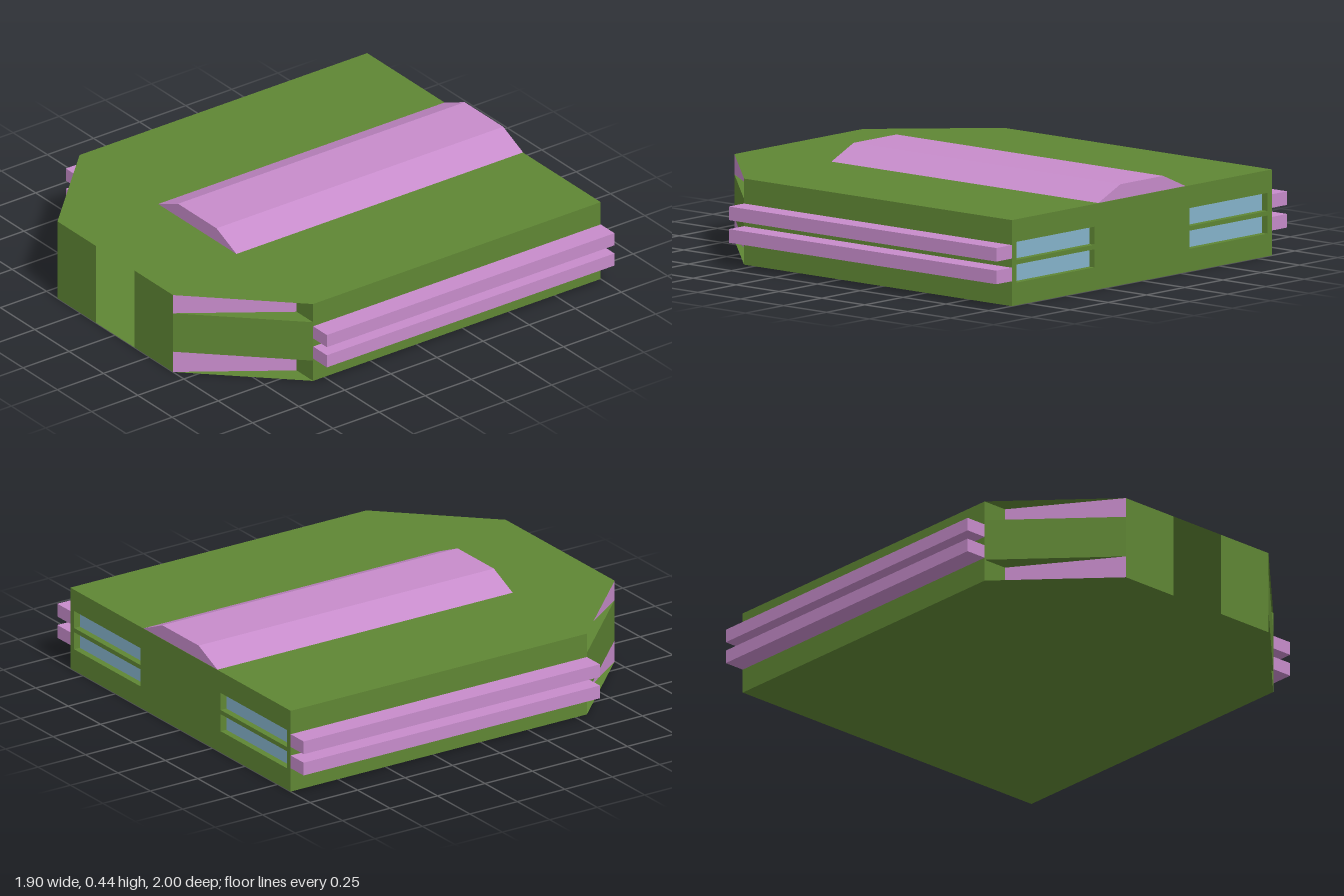
import * as THREE from 'three';

export function createModel() {
  const model = new THREE.Group();
  const mat = (name, color) => {
    const m = new THREE.MeshStandardMaterial({ color, side: THREE.DoubleSide });
    m.name = name;
    return m;
  };
  const green = mat('hull green', 0x5f8634);
  const pink = mat('trim pink', 0xc78ccb);
  const blue = mat('vent blue', 0x86b4cc);

  const add = (name, geometry, material, x = 0, y = 0, z = 0) => {
    const mesh = new THREE.Mesh(geometry, material);
    mesh.name = name;
    mesh.position.set(x, y, z);
    model.add(mesh);
    return mesh;
  };
  const polygon = (pts) => new THREE.Shape(pts.map(([x, y]) => new THREE.Vector2(x, y)));

  // Flat horizontal sheet from [x, z] corners
  const sheet = (name, pts, y, material) =>
    add(name, new THREE.ShapeGeometry(polygon(pts.map(([x, z]) => [x, -z]))).rotateX(-Math.PI / 2), material, 0, y, 0);

  // Upright panel between two [x, z] points
  const wall = (name, [x0, z0], [x1, z1], y0, y1, material) => {
    const panel = add(name, new THREE.PlaneGeometry(Math.hypot(x1 - x0, z1 - z0), y1 - y0), material,
      (x0 + x1) / 2, (y0 + y1) / 2, (z0 + z1) / 2);
    panel.rotation.y = -Math.atan2(z1 - z0, x1 - x0);
  };

  const H = 0.38, W = 0.85, SHOULDER = 0.56, NOSE = 0.42;
  const BAND = [0.1, 0.29];
  const outline = [[-W, -1], [W, -1], [W, SHOULDER], [NOSE, 1], [-NOSE, 1], [-W, SHOULDER]];

  // Hollow hull: floor and roof
  sheet('floor', outline, 0, green);
  sheet('roof', outline, H, green);

  // Back wall with two pairs of vent openings
  const vents = [];
  for (const s of [-1, 1]) for (const y of [0.14, 0.24]) vents.push([s * 0.565, y]);
  const VW = 0.255, VH = 0.04, DEPTH = 0.03;
  const back = polygon([[-W, 0], [W, 0], [W, H], [-W, H]]);
  for (const [x, y] of vents) {
    back.holes.push(new THREE.Path([[-VW, -VH], [-VW, VH], [VW, VH], [VW, -VH]]
      .map(([a, b]) => new THREE.Vector2(x + a, y + b))));
  }
  add('backWall', new THREE.ShapeGeometry(back), green, 0, 0, -1);

  // Recessed vents
  for (const [x, y] of vents) {
    wall('vent', [x + VW, -1 + DEPTH], [x - VW, -1 + DEPTH], y - VH, y + VH, blue);
    for (const s of [-1, 1]) {
      wall('ventSide', [x + s * VW, -1], [x + s * VW, -1 + DEPTH], y - VH, y + VH, green);
      sheet('ventLip', [[x - VW, -1], [x + VW, -1], [x + VW, -1 + DEPTH], [x - VW, -1 + DEPTH]], y + s * VH, green);
    }
  }

  for (const s of [-1, 1]) {
    const shoulder = [s * W, SHOULDER], nose = [s * NOSE, 1], inner = [s * 0.73, SHOULDER];

    // Side wall, nose panel beside the open centre, and corner band
    wall('sideWall', [s * W, -1], shoulder, 0, H, green);
    wall('nosePanel', nose, [s * 0.14, 1], 0, H, green);
    wall('cornerBand', shoulder, nose, ...BAND, green);

    // Corner pockets above and below the band
    for (const [y0, y1] of [[0, BAND[0]], [BAND[1], H]]) {
      wall('pocketPanel', nose, inner, y0, y1, pink);
      wall('pocketEnd', inner, shoulder, y0, y1, green);
    }
    for (const y of BAND) sheet('pocketLedge', [nose, inner, shoulder], y, green);

    // Twin side rails
    for (const y of [0.14, 0.24]) {
      add('sideRail', new THREE.BoxGeometry(0.1, 0.06, 1 + SHOULDER), pink, s * 0.9, y, (SHOULDER - 1) / 2);
    }
  }

  // Raised spine on the roof
  const spine = polygon([[-0.285, 0], [0.285, 0], [0.14, 0.064], [-0.14, 0.064]]);
  add('roofSpine', new THREE.ExtrudeGeometry(spine, { depth: 1.555, bevelEnabled: false }), pink, 0, H + 0.001, -1);

  return model;
}
